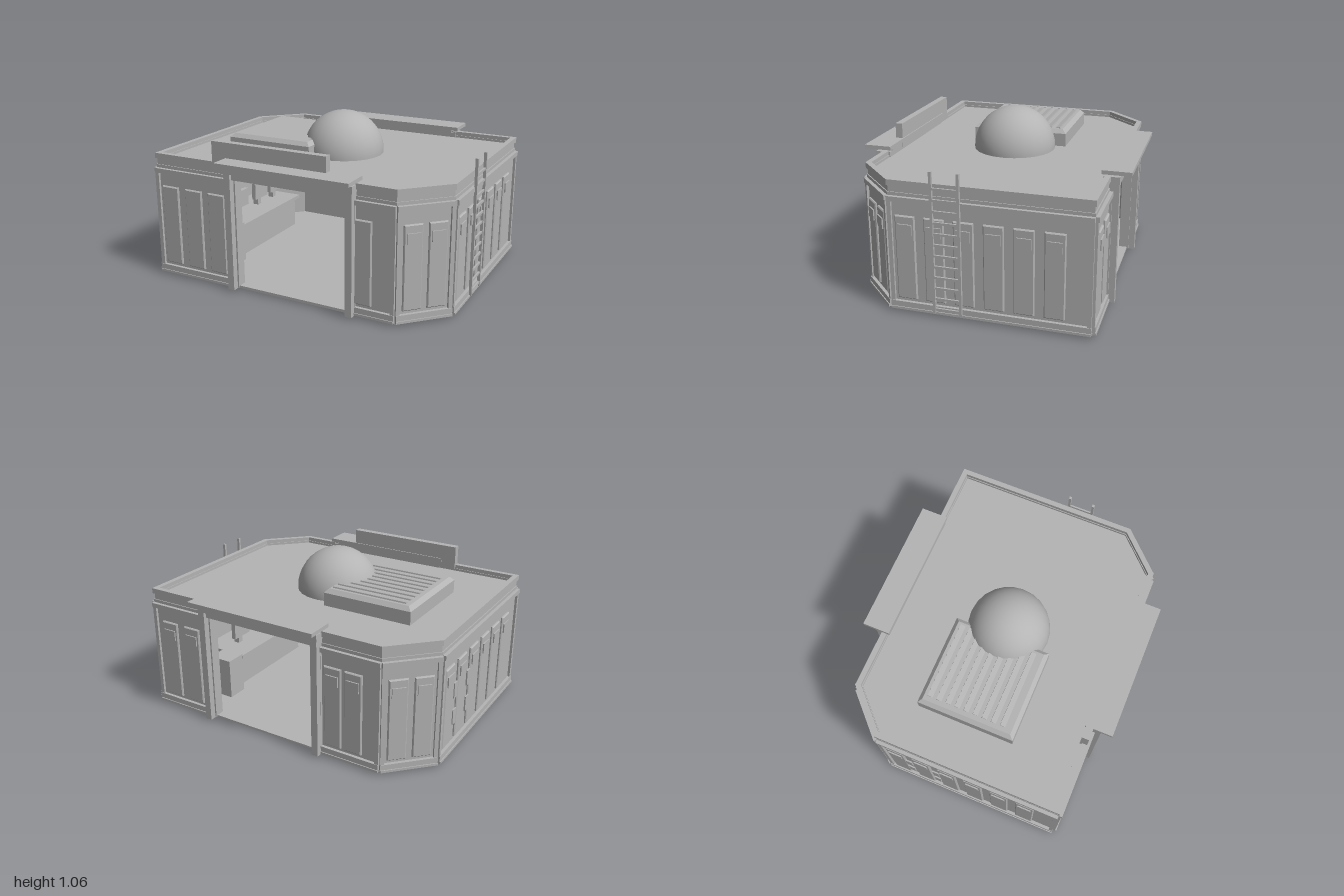
import * as THREE from 'three';

const grey = new THREE.MeshStandardMaterial({ color: 0xb4b4b4 });
grey.name = 'grey';

function add(parent, name, geometry, x = 0, y = 0, z = 0) {
  const mesh = new THREE.Mesh(geometry, grey);
  mesh.name = name;
  mesh.position.set(x, y, z);
  parent.add(mesh);
  return mesh;
}

// Box given by its lower and upper limits
function box(parent, name, x1, x2, y1, y2, z1, z2) {
  return add(parent, name, new THREE.BoxGeometry(x2 - x1, y2 - y1, z2 - z1),
    (x1 + x2) / 2, (y1 + y2) / 2, (z1 + z2) / 2);
}

// Rectangular plan with two opposite corners cut, grown outward by d
function outline(d) {
  const x = 0.965 + d, z = 0.73 + d, c = 0.25 + 0.586 * d;
  return [[-x, z], [x - c, z], [x, z - c], [x, -z], [-x + c, -z], [-x, -z + c]]
    .map(([px, pz]) => new THREE.Vector2(px, -pz));
}

// Horizontal slab or ring with that plan
function slab(parent, name, d, y1, y2, inner) {
  const shape = new THREE.Shape(outline(d));
  if (inner !== undefined) shape.holes.push(new THREE.Path(outline(inner)));
  const g = new THREE.ExtrudeGeometry(shape, { depth: y2 - y1, bevelEnabled: false });
  g.rotateX(-Math.PI / 2);
  return add(parent, name, g, 0, y1, 0);
}

// Raised plate with bevelled edges, its back at z = 0
function bevelPlate(w, h, depth, bevel) {
  const a = w / 2 - bevel, b = h / 2 - bevel;
  const shape = new THREE.Shape([[-a, -b], [a, -b], [a, b], [-a, b]]
    .map(p => new THREE.Vector2(...p)));
  return new THREE.ExtrudeGeometry(shape, {
    depth: depth - bevel, bevelEnabled: true, bevelThickness: bevel,
    bevelSize: bevel, bevelSegments: 1,
  });
}

// One straight wall with trims, corner posts and panels; outward is local +z
function wall(parent, name, [x1, z1], [x2, z2], panels, width, plates) {
  const g = new THREE.Group();
  g.name = name;
  const len = Math.hypot(x2 - x1, z2 - z1);
  g.position.set(x1, 0, z1);
  g.rotation.y = Math.atan2(-(z2 - z1), x2 - x1);
  box(g, 'wallSheet', 0, len, 0.02, 0.75, -0.04, 0);
  box(g, 'lowerTrim', 0, len, 0.02, 0.07, -0.01, 0.02);
  box(g, 'lowerTrimLip', 0, len, 0.02, 0.035, -0.01, 0.026);
  box(g, 'upperTrim', 0, len, 0.7, 0.73, -0.01, 0.022);
  for (const x of [0, len - 0.025]) box(g, 'wallPost', x, x + 0.025, 0.02, 0.73, -0.01, 0.016);
  for (const x of panels) {
    add(g, 'wallPanel', bevelPlate(width, 0.525, 0.014, 0.006), x, 0.352, 0);
    if (plates) box(g, 'panelPlate', x - width * 0.36, x + width * 0.36, 0.5, 0.565, 0.01, 0.022);
  }
  parent.add(g);
  return g;
}

// Doorway frame and canopy, facing local +z
function doorway(parent, name, cx, side) {
  const g = new THREE.Group();
  g.name = name;
  for (const s of [-1, 1]) {
    box(g, 'doorPost', s * 0.412 - 0.022, s * 0.412 + 0.022, 0.015, 0.79, 0.69, 0.785);
    box(g, 'doorPostInner', s * 0.39 - 0.01, s * 0.39 + 0.01, 0.02, 0.76, 0.68, 0.745);
  }
  box(g, 'doorLintel', -0.39, 0.39, 0.735, 0.78, 0.69, 0.765);
  box(g, 'doorBeam', -0.436, 0.436, 0.775, 0.818, 0.69, 0.787);
  box(g, 'canopySupport', -0.4, 0.4, 0.818, 0.836, 0.69, 0.74);
  box(g, 'canopy', -0.45, 0.45, 0.834, 0.858, 0.68, 0.857);
  g.position.x = cx;
  if (side < 0) g.rotation.y = Math.PI;
  parent.add(g);
}

export function createModel() {
  const model = new THREE.Group();
  model.name = 'building';

  // Floor, roof and parapet
  slab(model, 'floorBase', -0.018, 0, 0.022);
  slab(model, 'floorSlab', 0.005, 0.018, 0.03);
  slab(model, 'roof', -0.02, 0.745, 0.785);
  slab(model, 'parapet', -0.006, 0.73, 0.8, -0.035);
  slab(model, 'parapetCap', 0.004, 0.79, 0.825, -0.03);

  // Walls, walked round the plan
  const six = [0, 1, 2, 3, 4, 5].map(i => 0.105 + 0.178 * i);
  const A = 0.965, B = 0.73, C = 0.715, D = 0.48;
  wall(model, 'frontWallRight', [-A, B], [-0.39, B], [0.108, 0.288, 0.463], 0.125, false);
  wall(model, 'frontWallLeft', [0.44, B], [C, B], [0.065], 0.125, false);
  wall(model, 'frontCornerWall', [C, B], [A, D], [0.1, 0.253], 0.115, true);
  wall(model, 'leftWall', [A, D], [A, -B], six, 0.122, true);
  wall(model, 'backWallLeft', [A, -B], [0.53, -B], [0.13, 0.31], 0.12, true);
  wall(model, 'backWallRight', [-0.3, -B], [-C, -B], [0.1, 0.24], 0.115, true);
  wall(model, 'backCornerWall', [-C, -B], [-A, -D], [0.1, 0.253], 0.115, true);
  const right = wall(model, 'rightWall', [-A, -D], [-A, B], six, 0.122, true);
  for (const x of [0.19, 0.38]) for (const y of [0.2, 0.38])
    box(right, 'smallVent', x - 0.022, x + 0.022, y, y + 0.1, 0.008, 0.017);

  // Doorways and the board above the front one
  doorway(model, 'frontDoorway', 0.03, 1);
  doorway(model, 'backDoorway', 0.11, -1);
  box(model, 'frontBoard', -0.52, 0.275, 0.795, 0.955, 0.687, 0.733);

  // Roof dome
  add(model, 'dome', new THREE.SphereGeometry(0.265, 24, 10, 0, Math.PI * 2, 0, Math.PI / 2),
    0.01, 0.795, 0);
  add(model, 'domeBase', new THREE.CylinderGeometry(0.265, 0.265, 0.02, 24), 0.01, 0.785, 0);

  // Roof cooling unit with louvres
  const unit = bevelPlate(0.6, 0.63, 0.115, 0.025);
  unit.rotateX(-Math.PI / 2);
  add(model, 'roofUnit', unit, -0.38, 0.78, -0.005);
  for (let i = 0; i < 9; i++) {
    const slat = box(model, 'roofLouvre', -0.625, -0.12, 0.887, 0.897,
      -0.275 + i * 0.06, -0.223 + i * 0.06);
    slat.rotation.x = 0.25;
  }

  // Ladder
  for (const z of [0.2, 0.037]) box(model, 'ladderRail', 0.982, 1, 0.03, 0.905, z - 0.008, z + 0.008);
  for (let i = 0; i < 12; i++) {
    const y = 0.055 + i * 0.068;
    box(model, 'ladderRung', 0.986, 0.997, y - 0.007, y + 0.007, 0.037, 0.2);
  }

  // Consoles against the inner side walls
  for (const s of [-1, 1]) {
    const g = new THREE.Group();
    g.name = 'console';
    box(g, 'consoleDesk', 0.62, 0.92, 0.03, 0.24, -0.3, 0.4);
    box(g, 'consoleTop', 0.59, 0.92, 0.24, 0.265, -0.32, 0.42);
    for (const z of [-0.15, 0.1, 0.3]) {
      box(g, 'consoleStand', 0.74, 0.78, 0.265, 0.33, z - 0.02, z + 0.02);
      box(g, 'consoleScreen', 0.72, 0.75, 0.32, 0.44, z - 0.08, z + 0.08);
    }
    box(g, 'cabinet', 0.56, 0.72, 0.03, 0.3, -0.5, -0.36);
    if (s < 0) g.rotation.y = Math.PI;
    model.add(g);
  }
  return model;
}
